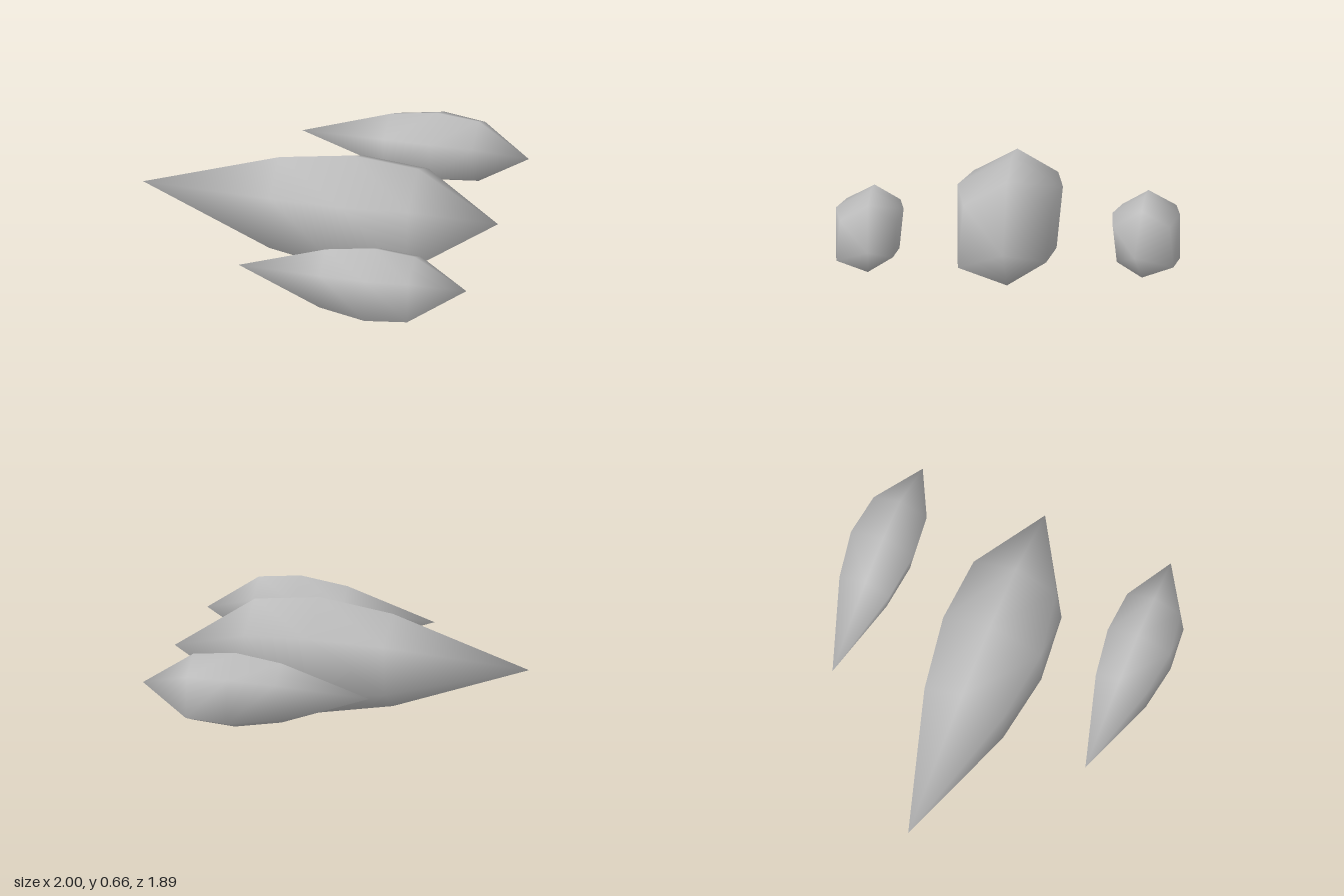
import * as THREE from 'three';

// Unit pod: lies along x, tips at x = -1 and 1, centred on y = 0, z = 0.
// Cross-section corners are [y, z], going round from the top edge.
const midSection = [[0.33, 0], [0.17, -0.28], [-0.18, -0.245], [-0.33, 0], [-0.22, 0.3], [0.17, 0.3]];
const rearSection = [[0.295, 0], [0.155, -0.25], [-0.16, -0.215], [-0.295, 0], [-0.2, 0.27], [0.155, 0.24]];
const rings = [
  { x: -0.23, section: midSection.map(([y, z]) => [y * 0.8, z * 0.8]) },
  { x: 0.18, section: midSection },
  { x: 0.55, section: rearSection },
];

// Smooth six-sided spindle; side = -1 mirrors it in z
function podGeometry(scale, side, tipZ) {
  const points = [];
  const faces = [];
  const add = (x, y, z) => points.push(x * scale, y * scale, z * scale * side);
  const face = (a, b, c) => (side > 0 ? faces.push(a, b, c) : faces.push(a, c, b));

  add(-1, 0, -0.008);
  for (const { x, section } of rings) {
    for (const [y, z] of section) add(x, y, z);
  }
  add(1, 0, tipZ);

  const n = midSection.length;
  const last = rings.length - 1;
  const at = (i, j) => 1 + i * n + (j % n);
  const endTip = 1 + rings.length * n;
  for (let j = 0; j < n; j++) {
    face(0, at(0, j), at(0, j + 1));
    for (let i = 0; i < last; i++) {
      face(at(i, j), at(i + 1, j), at(i, j + 1));
      face(at(i, j + 1), at(i + 1, j), at(i + 1, j + 1));
    }
    face(at(last, j), endTip, at(last, j + 1));
  }

  const geometry = new THREE.BufferGeometry();
  geometry.setAttribute('position', new THREE.Float32BufferAttribute(points, 3));
  geometry.setIndex(faces);
  geometry.computeVertexNormals();
  return geometry;
}

export function createModel() {
  const group = new THREE.Group();
  const hullGrey = new THREE.MeshStandardMaterial({ color: 0xbfbfbf });
  hullGrey.name = 'hull grey';

  const addPod = (name, scale, side, tipZ, x, z) => {
    const pod = new THREE.Mesh(podGeometry(scale, side, tipZ), hullGrey);
    pod.name = name;
    pod.position.set(x, 0.332, z);
    group.add(pod);
  };

  // Large central hull
  addPod('mainHull', 1, 1, -0.01, 0, 0);
  // Smaller side pods, mirrored, with their rear tips level with the hull's
  for (const side of [1, -1]) {
    addPod(side > 0 ? 'frontPod' : 'backPod', 0.64, side, -0.03, 0.36, side * 0.753);
  }
  return group;
}
